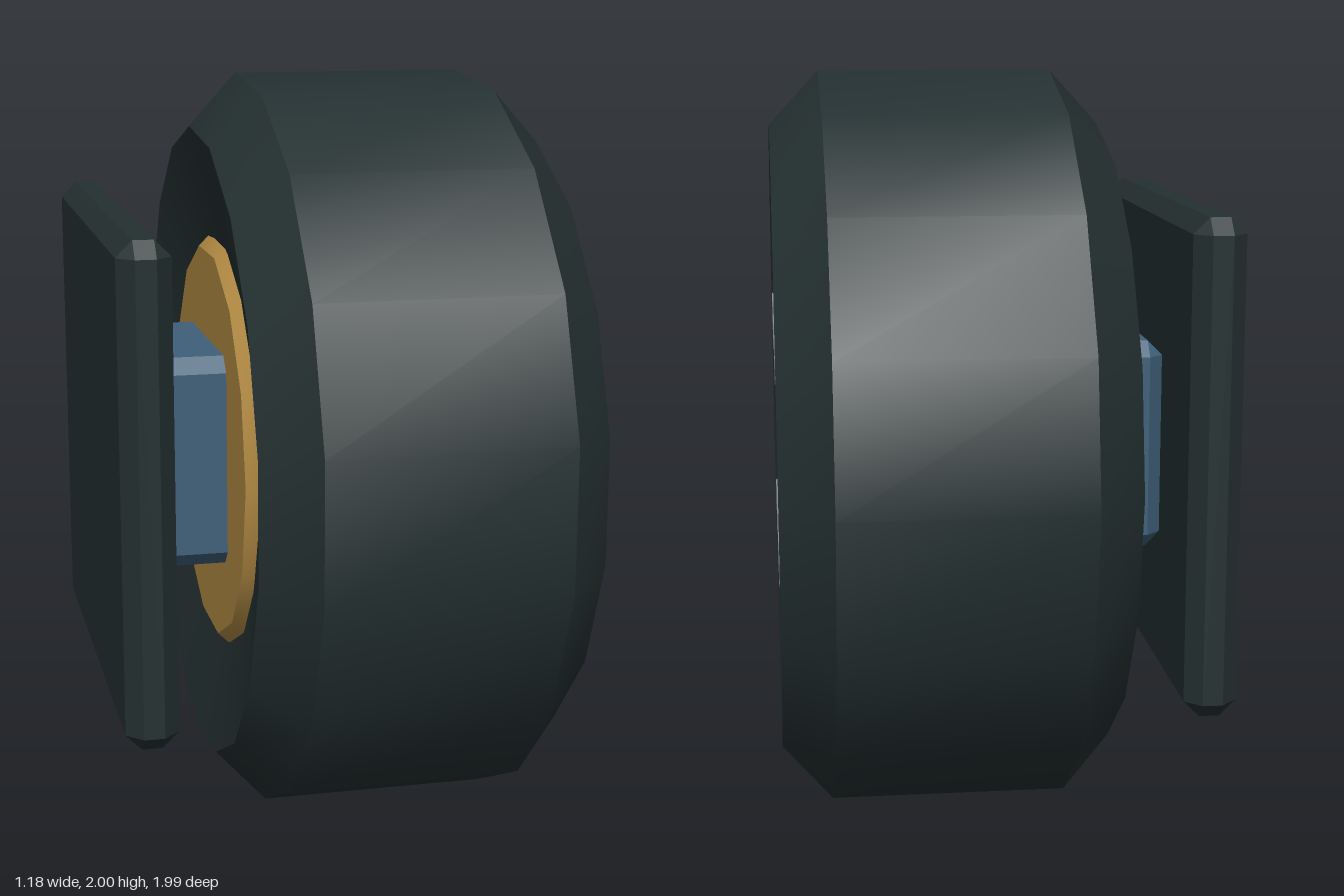
import * as THREE from 'three';
import { toCreasedNormals } from 'three/addons/utils/BufferGeometryUtils.js';
import { ConvexGeometry } from 'three/addons/geometries/ConvexGeometry.js';

const CY = 1.0, CZ = 0.008; // wheel axis
const MID = 0.145;          // middle of the tyre along x

function material(name, color) {
  const m = new THREE.MeshStandardMaterial({ color });
  m.name = name;
  return m;
}

// Revolve [x, radius] points round the x axis
function revolve(name, points, sides, mat, start = 0) {
  const profile = points.map(([x, r]) => new THREE.Vector2(r, x));
  const lathe = new THREE.LatheGeometry(profile, sides, start);
  lathe.rotateZ(-Math.PI / 2);
  const mesh = new THREE.Mesh(toCreasedNormals(lathe, 0.5), mat);
  mesh.name = name;
  mesh.position.set(0, CY, CZ);
  return mesh;
}

// Box with flat bevels on every edge
function bevelBox(name, w, h, d, b, mat) {
  const pts = [];
  for (const x of [-1, 1]) for (const y of [-1, 1]) for (const z of [-1, 1]) {
    const X = x * w / 2, Y = y * h / 2, Z = z * d / 2;
    pts.push(
      new THREE.Vector3(X, Y - y * b, Z - z * b),
      new THREE.Vector3(X - x * b, Y, Z - z * b),
      new THREE.Vector3(X - x * b, Y - y * b, Z));
  }
  const mesh = new THREE.Mesh(new ConvexGeometry(pts), mat);
  mesh.name = name;
  return mesh;
}

export function createModel() {
  const model = new THREE.Group();
  model.name = 'wheelAssembly';
  const rubber = material('darkRubber', 0x243031);
  const gold = material('goldHub', 0xb48c44);
  const steel = material('boltSteel', 0x8d9198);
  const blue = material('axleBlue', 0x3f6079);

  // Tyre with bevelled shoulders and dished side walls
  const half = [[0.355, 0.44], [0.44, 0.863], [0.31, 1.004]];
  const tyre = [
    ...half.map(([x, r]) => [MID - x, r]),
    ...half.map(([x, r]) => [MID + x, r]).reverse(),
  ];
  model.add(revolve('tyre', tyre, 17, rubber, Math.PI));

  // Hub running right through the tyre
  model.add(revolve('hub', [
    [MID - 0.41, 0], [MID - 0.41, 0.54], [MID - 0.36, 0.588],
    [MID + 0.36, 0.588], [MID + 0.41, 0.54], [MID + 0.41, 0],
  ], 14, gold));

  // Centre cap
  model.add(revolve('centreCap', [
    [0.5, 0.22], [0.565, 0.22], [0.575, 0.21], [0.575, 0],
  ], 10, rubber));

  // Four bolts
  for (const y of [-1, 1]) for (const z of [-1, 1]) {
    const bolt = revolve('bolt', [
      [0.52, 0.094], [0.574, 0.094], [0.585, 0.083], [0.585, 0],
    ], 8, steel);
    bolt.position.y += y * 0.276;
    bolt.position.z += z * 0.276;
    model.add(bolt);
  }

  // Square axle block and mounting plate
  const axle = bevelBox('axleBlock', 0.255, 0.57, 0.57, 0.04, blue);
  axle.position.set(-0.3275, 1.003, 0.005);
  const plate = bevelBox('mountingPlate', 0.137, 1.302, 1.302, 0.042, rubber);
  plate.position.set(-0.523, 1.003, 0.005);
  model.add(axle, plate);

  return model;
}
